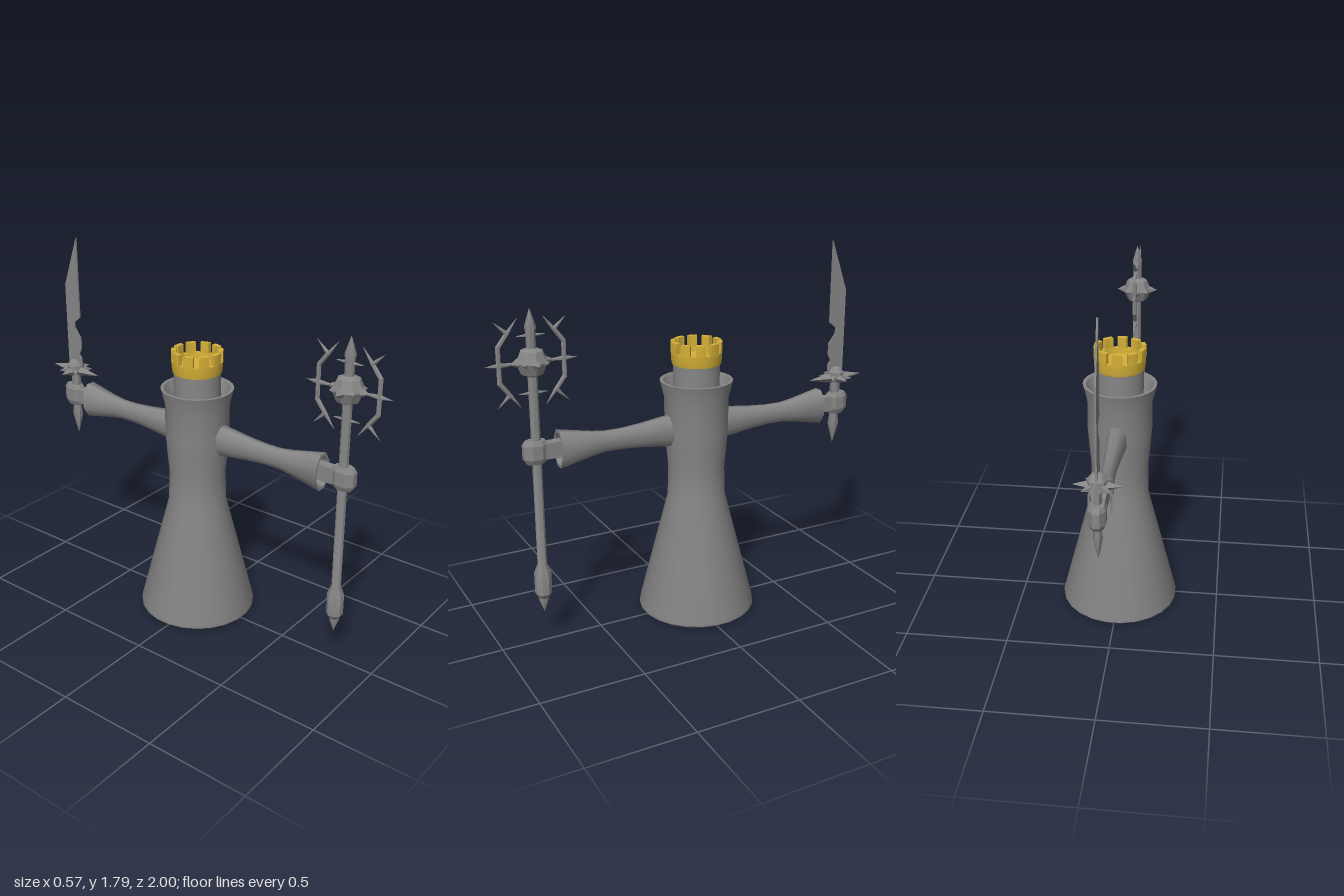
import * as THREE from 'three';
import { toCreasedNormals } from 'three/addons/utils/BufferGeometryUtils.js';

const stone = new THREE.MeshStandardMaterial({ color: 0x868686 });
stone.name = 'grey stone';
stone.side = THREE.DoubleSide;
const gold = new THREE.MeshStandardMaterial({ color: 0xd4af37 });
gold.name = 'gold';

const CENTRE_Z = -0.03;

function add(parent, name, geometry, material, x = 0, y = 0, z = 0) {
  const mesh = new THREE.Mesh(geometry, material);
  mesh.name = name;
  mesh.position.set(x, y, z);
  parent.add(mesh);
  return mesh;
}

// Turned shape from [radius, height] pairs, listed from the bottom up
function turned(profile, sides, crease = 0.5) {
  const points = profile.map(([r, y]) => new THREE.Vector2(r, y));
  return toCreasedNormals(new THREE.LatheGeometry(points, sides, Math.PI / sides), crease);
}

// Cone or bar running between two points
function bar(parent, name, from, to, r0, r1, sides = 6) {
  const a = new THREE.Vector3(...from), b = new THREE.Vector3(...to);
  const dir = b.clone().sub(a);
  const geometry = toCreasedNormals(new THREE.CylinderGeometry(r1, r0, dir.length(), sides), 0.5);
  const mesh = add(parent, name, geometry, stone);
  mesh.position.copy(a).add(b).multiplyScalar(0.5);
  mesh.quaternion.setFromUnitVectors(new THREE.Vector3(0, 1, 0), dir.normalize());
  return mesh;
}

// Flat outline given as [z, y] pairs, standing in the plane x = 0
function plate(outline, depth) {
  const shape = new THREE.Shape(outline.map(([z, y]) => new THREE.Vector2(-z, y)));
  const geometry = new THREE.ExtrudeGeometry(shape, { depth, bevelEnabled: false });
  return geometry.translate(0, 0, -depth / 2).rotateY(Math.PI / 2);
}

function makeCrown() {
  const crown = new THREE.Group();
  crown.name = 'crown';
  add(crown, 'crownBand', turned([
    [0, 1.265], [0.117, 1.265], [0.12, 1.28], [0.122, 1.322], [0.1, 1.322], [0.097, 1.295], [0, 1.285],
  ], 30), gold);
  const count = 10, step = Math.PI * 2 / count, half = step * 0.32;
  for (let i = 0; i < count; i++) {
    const mid = (i + 0.5) * step;
    const shape = new THREE.Shape();
    shape.absarc(0, 0, 0.123, mid - half, mid + half, false);
    shape.absarc(0, 0, 0.1, mid + half, mid - half, true);
    const tooth = new THREE.ExtrudeGeometry(shape, { depth: 0.055, bevelEnabled: false, curveSegments: 4 });
    add(crown, 'crownTooth', tooth.rotateX(-Math.PI / 2), gold, 0, 1.318, 0);
  }
  return crown;
}

// Flared, hollow sleeve with a wrist and a fist, reaching along +z
function makeArm() {
  const arm = new THREE.Group();
  arm.name = 'arm';
  const sleeve = turned([
    [0.085, 0.05], [0.078, 0.16], [0.06, 0.3], [0.052, 0.4], [0.052, 0.48], [0.06, 0.54],
    [0.095, 0.71], [0.08, 0.71], [0.05, 0.6], [0, 0.6],
  ], 8, 0.95);
  add(arm, 'sleeve', sleeve.rotateX(Math.PI / 2).scale(0.64, 1, 1), stone, 0, 0.95, 0);
  add(arm, 'wrist', new THREE.BoxGeometry(0.05, 0.075, 0.2), stone, 0, 0.955, 0.68);
  const fist = turned([[0, -0.055], [0.045, -0.055], [0.062, -0.03], [0.062, 0.035], [0.048, 0.055], [0, 0.055]], 8);
  add(arm, 'fist', fist.scale(0.65, 1, 1), stone, 0, 0.955, 0.82);
  return arm;
}

function makeStaff() {
  const staff = new THREE.Group();
  staff.name = 'staff';
  add(staff, 'shaft', turned([
    [0, 0.15], [0.024, 0.215], [0.024, 0.225], [0.04, 0.25], [0.04, 0.355], [0.022, 0.4],
    [0.022, 1.5], [0.026, 1.53], [0, 1.61],
  ], 8), stone);
  const orb = new THREE.SphereGeometry(0.073, 8, 4);
  add(staff, 'maceHead', toCreasedNormals(orb, 0.3), stone, 0, 1.37, 0);

  // Spikes around the mace head
  for (let i = 0; i < 8; i++) {
    const a = i * Math.PI / 4, tip = i % 2 ? 0.085 : 0.105;
    const at = (r) => [Math.cos(a) * r, 1.37, Math.sin(a) * r];
    bar(staff, 'maceSpike', at(0.05), at(tip), 0.028, 0, 5);
  }
  for (const y of [1.23, 1.49]) {
    for (const s of [-1, 1]) bar(staff, 'crossSpike', [0, y, 0], [0, y, s * 0.065], 0.01, 0.002);
  }

  // Thorned cage on both sides of the mace head
  for (const s of [-1, 1]) {
    bar(staff, 'cageBar', [0, 1.285, s * 0.15], [0, 1.455, s * 0.15], 0.011, 0.011);
    bar(staff, 'cageThorn', [0, 1.37, s * 0.15], [0, 1.37, s * 0.215], 0.012, 0);
    bar(staff, 'cageThorn', [0, 1.37, s * 0.15], [0, 1.37, s * 0.07], 0.012, 0.004);
    for (const v of [-1, 1]) {
      const y = (d) => 1.37 + v * d;
      bar(staff, 'cageBend', [0, y(0.08), s * 0.15], [0, y(0.14), s * 0.105], 0.011, 0.01);
      bar(staff, 'cageTip', [0, y(0.135), s * 0.108], [0, y(0.2), s * 0.058], 0.01, 0.001);
      bar(staff, 'cageThorn', [0, y(0.135), s * 0.105], [0, y(0.195), s * 0.168], 0.011, 0);
    }
  }
  return staff;
}

function makeSword() {
  const sword = new THREE.Group();
  sword.name = 'sword';
  add(sword, 'blade', plate([
    [0.05, 1.79], [-0.04, 1.54], [-0.04, 1.08], [0.05, 1.08], [0.05, 1.16], [0.035, 1.18], [0.05, 1.21],
    [0.05, 1.27], [0.012, 1.32], [0.012, 1.35], [0.05, 1.38],
  ], 0.008), stone);
  const grip = turned([
    [0, 0.735], [0.014, 0.78], [0.03, 0.84], [0.024, 0.89], [0.02, 0.95], [0.028, 1.02], [0.025, 1.1],
  ], 6);
  add(sword, 'grip', grip.scale(0.7, 1, 1), stone);
  const hub = new THREE.SphereGeometry(0.045, 8, 5);
  add(sword, 'guardHub', toCreasedNormals(hub, 0.3), stone, 0, 1.105, 0);

  // Star-shaped guard
  for (let i = 0; i < 8; i++) {
    const a = i * Math.PI / 4, tip = i % 2 ? 0.085 : i % 4 ? 0.16 : 0.105;
    bar(sword, 'guardSpike', [0, 1.09, 0], [Math.cos(a) * tip, 1.09, Math.sin(a) * tip], 0.034, 0, 4);
  }
  return sword;
}

export function createModel() {
  const model = new THREE.Group();
  model.name = 'robedFigure';
  const figure = new THREE.Group();
  figure.name = 'figure';
  figure.position.z = CENTRE_Z;
  model.add(figure);

  // Robe with an open, flared collar
  add(figure, 'robe', turned([
    [0, 0], [0.275, 0], [0.288, 0.012], [0.288, 0.03], [0.142, 0.6], [0.138, 0.75], [0.148, 0.86],
    [0.155, 0.95], [0.155, 1.1], [0.176, 1.185], [0.16, 1.185], [0.13, 1.12], [0, 1.12],
  ], 24, 0.6), stone);
  add(figure, 'head', turned([[0.112, 1.1], [0.112, 1.27], [0, 1.27]], 24), stone);
  figure.add(makeCrown());

  // Front arm holds the staff, back arm holds the sword
  const frontArm = makeArm();
  frontArm.name = 'frontArm';
  const backArm = makeArm();
  backArm.name = 'backArm';
  backArm.rotation.y = Math.PI;
  figure.add(frontArm, backArm);

  const staff = makeStaff();
  staff.position.z = 0.785;
  const sword = makeSword();
  sword.position.z = -0.84;
  model.add(staff, sword);
  return model;
}
